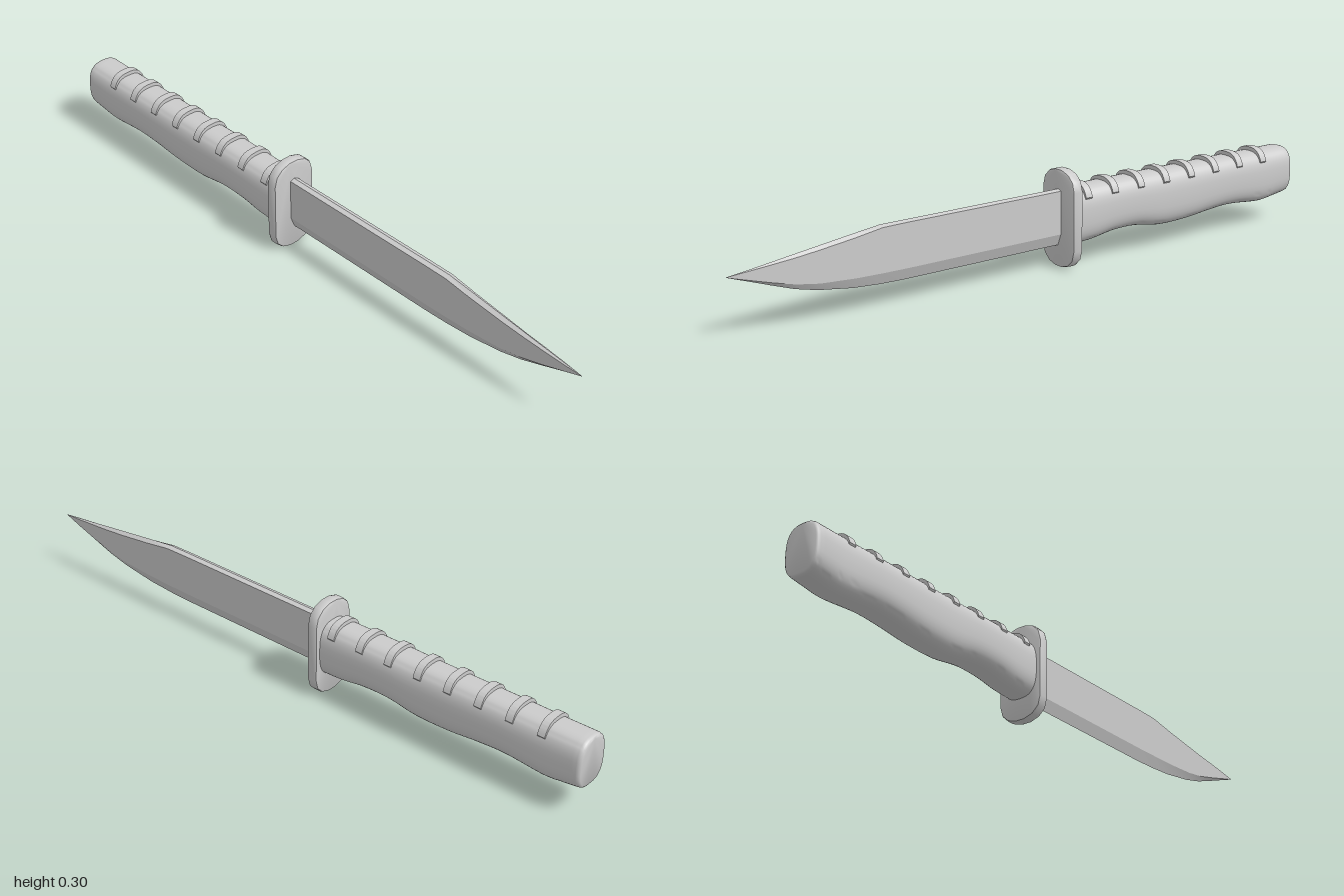
import * as THREE from 'three';
import { toCreasedNormals } from 'three/addons/utils/BufferGeometryUtils.js';

// Joins rings of [x, y, z] points (running from +y towards +z) and caps both ends.
function loft(rings, crease) {
  const n = rings[0].length, index = [];
  for (let i = 0; i < rings.length - 1; i++) {
    for (let j = 0; j < n; j++) {
      const a = i * n + j, b = i * n + (j + 1) % n;
      index.push(a, b, b + n, a, b + n, a + n);
    }
  }
  const last = (rings.length - 1) * n;
  for (let j = 1; j < n - 1; j++) {
    index.push(0, j + 1, j, last, last + j, last + j + 1);
  }
  const geometry = new THREE.BufferGeometry();
  geometry.setAttribute('position', new THREE.Float32BufferAttribute(rings.flat(2), 3));
  geometry.setIndex(index);
  return toCreasedNormals(geometry, crease);
}

// Rounded-box outline of the grip: unit [z, y] for an angle from the top.
function gripOutline(angle) {
  const round = v => Math.sign(v) * Math.abs(v) ** (2 / 2.8);
  return [round(Math.sin(angle)), round(Math.cos(angle))];
}

function gripGeometry() {
  // Underside with finger grooves: [x, y]
  const underside = new THREE.SplineCurve([
    [-0.988, 0.086], [-0.94, 0.079], [-0.88, 0.073], [-0.76, 0.083], [-0.67, 0.079], [-0.57, 0.069],
    [-0.46, 0.068], [-0.36, 0.083], [-0.27, 0.082], [-0.19, 0.07], [-0.11, 0.066],
  ].map(p => new THREE.Vector2(...p)));
  const ring = (x, bottom, inset) => {
    const half = (0.239 - bottom) / 2;
    return Array.from({ length: 40 }, (_, j) => {
      const [z, y] = gripOutline(j / 40 * Math.PI * 2);
      return [x, bottom + half + y * (half - inset), z * (0.06 - inset)];
    });
  };
  const body = underside.getPoints(50).map(p => ring(p.x, p.y, 0));
  // Rounded butt end
  return loft([ring(-1, 0.086, 0.007), ring(-0.996, 0.086, 0.002), ...body], 0.7);
}

// Raised arch that wraps over the top of the grip and fades into its sides.
function ribGeometry() {
  const arc = (halfWidth, halfHeight) => Array.from({ length: 25 }, (_, i) => {
    const [z, y] = gripOutline((i / 12 - 1) * 1.08);
    return new THREE.Vector2(z * halfWidth, 0.155 + y * halfHeight);
  });
  const shape = new THREE.Shape([...arc(0.0625, 0.096), ...arc(0.053, 0.075).reverse()]);
  const geometry = new THREE.ExtrudeGeometry(shape, { depth: 0.024, bevelEnabled: false });
  geometry.rotateY(Math.PI / 2).translate(-0.012, 0, 0);
  return toCreasedNormals(geometry, 0.6);
}

function guardGeometry() {
  // Quarter of the outline from the top towards +z: [z, y]
  const right = [[0.015, 0.1485], [0.045, 0.139], [0.066, 0.119], [0.074, 0.089]];
  const side = [...right, ...right.map(([z, y]) => [z, -y]).reverse()];
  const outline = [...side, ...side.map(([z, y]) => [-z, -y])];
  const ring = (x, inset) => outline.map(([z, y]) =>
    [x, 0.1485 + y * (1 - inset / 0.1485), z * (1 - inset / 0.074)]);
  // Softened rims on both faces
  return loft([
    ring(-0.123, 0.006), ring(-0.121, 0.002), ring(-0.115, 0),
    ring(-0.096, 0), ring(-0.09, 0.002), ring(-0.088, 0.006),
  ], 0.75);
}

function bladeGeometry() {
  // Stations: x, spine ridge, spine corner, bevel line, cutting edge, half thickness
  const stations = [
    [-0.1, 0.238, 0.233, 0.102, 0.067, 0.014],
    [0.45, 0.238, 0.233, 0.102, 0.067, 0.014],
    [0.53, 0.238, 0.232, 0.103, 0.069, 0.014],
    [0.62, 0.227, 0.218, 0.105, 0.075, 0.013],
    [0.73, 0.213, 0.204, 0.112, 0.091, 0.0115],
    [0.8, 0.204, 0.196, 0.123, 0.108, 0.0095],
    [0.87, 0.195, 0.19, 0.141, 0.132, 0.0075],
    [0.94, 0.186, 0.184, 0.161, 0.157, 0.0045],
    [1, 0.179, 0.179, 0.178, 0.178, 0.0003],
  ];
  const rings = stations.map(([x, ridge, spine, bevel, edge, t]) => [
    [x, ridge, 0], [x, spine, t], [x, bevel, t], [x, edge, 0], [x, bevel, -t], [x, spine, -t],
  ]);
  return loft(rings, 0.15);
}

export function createModel() {
  const model = new THREE.Group();
  const material = new THREE.MeshStandardMaterial({ color: 0xcccccc });
  const add = (name, geometry, x = 0) => {
    const mesh = new THREE.Mesh(geometry, material);
    mesh.name = name;
    mesh.position.x = x;
    model.add(mesh);
  };
  add('grip', gripGeometry());
  add('guard', guardGeometry());
  add('blade', bladeGeometry());

  // Eight evenly spaced grip ribs
  const rib = ribGeometry();
  for (let i = 0; i < 8; i++) add(`gripRib${i + 1}`, rib, -0.874 + i * 0.102);
  return model;
}
